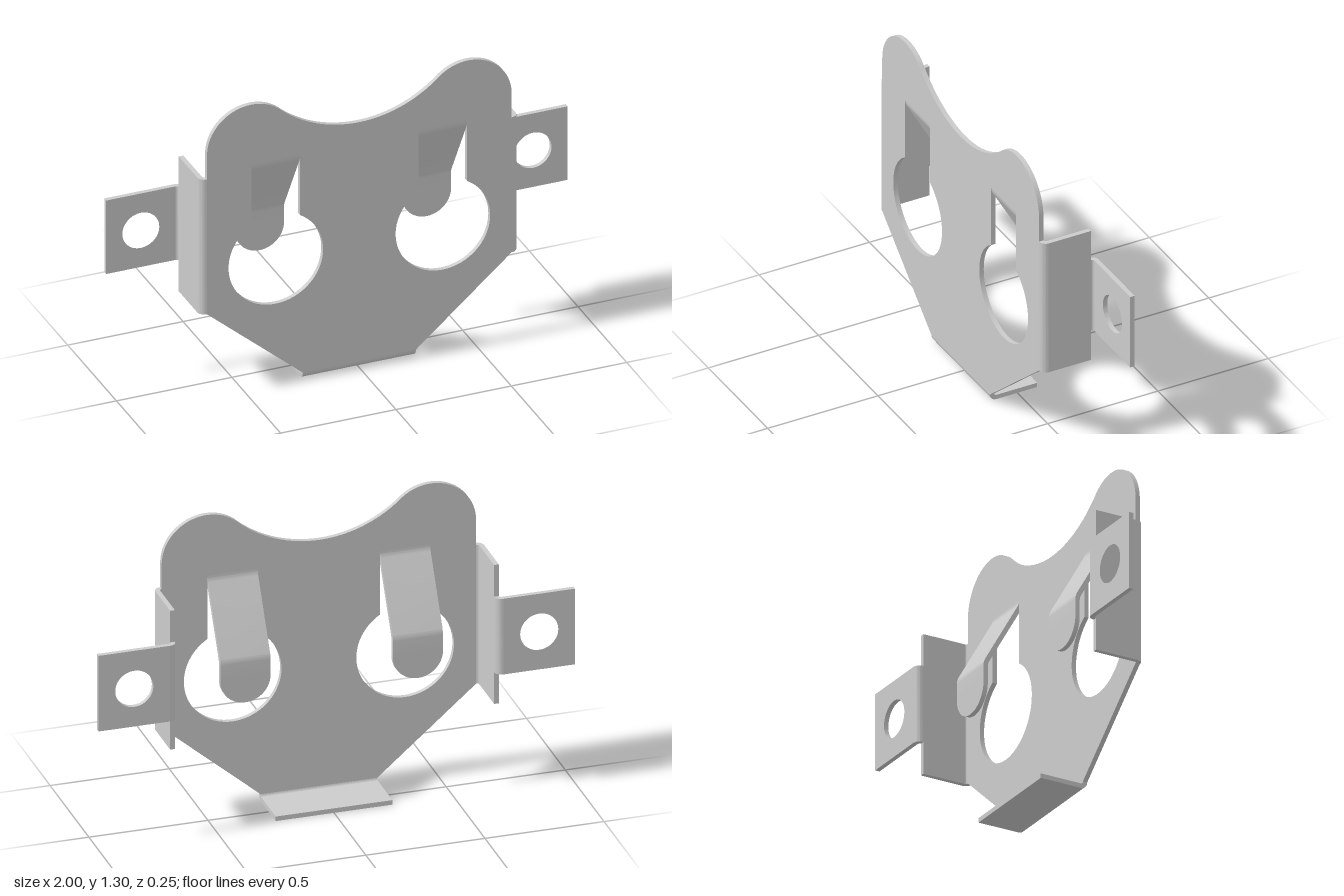
import * as THREE from 'three';
import { toCreasedNormals } from 'three/addons/utils/BufferGeometryUtils.js';

const T = 0.02; // sheet thickness
const material = new THREE.MeshStandardMaterial({ color: 0xcccccc });

function makeMesh(name, geometry) {
  const mesh = new THREE.Mesh(toCreasedNormals(geometry, 0.5), material);
  mesh.name = name;
  return mesh;
}

function extrude(shape, depth) {
  return new THREE.ExtrudeGeometry(shape, { depth, bevelEnabled: false, curveSegments: 32 });
}

// Flat sheet facing z, with its back at the given z
function flatSheet(name, shape, z) {
  return makeMesh(name, extrude(shape, T).translate(0, 0, z));
}

// Cross-section of a bent strip: a centre line with rounded corners, thickened both ways
function bentSection(coords, radius) {
  const pts = coords.map(([x, y]) => new THREE.Vector2(x, y));
  const perp = (d) => new THREE.Vector2(-d.y, d.x);
  const left = [], right = [];
  const add = (p, n) => {
    left.push(p.clone().addScaledVector(n, T / 2));
    right.push(p.clone().addScaledVector(n, -T / 2));
  };
  const dirs = pts.slice(1).map((p, i) => p.clone().sub(pts[i]).normalize());
  add(pts[0], perp(dirs[0]));
  for (let i = 1; i < pts.length - 1; i++) {
    const a = dirs[i - 1], b = dirs[i];
    const turn = Math.atan2(a.cross(b), a.dot(b)), sign = Math.sign(turn);
    const start = pts[i].clone().addScaledVector(a, -radius * Math.tan(Math.abs(turn) / 2));
    const centre = start.addScaledVector(perp(a), sign * radius);
    for (let k = 0; k <= 8; k++) {
      const n = perp(a).rotateAround(new THREE.Vector2(), (turn * k) / 8);
      add(centre.clone().addScaledVector(n, -sign * radius), n);
    }
  }
  add(pts[pts.length - 1], perp(dirs[dirs.length - 1]));
  return new THREE.Shape([...left, ...right.reverse()]);
}

// Strip bent in the x-z plane, running from y0 to y1
function uprightStrip(name, xz, radius, y0, y1) {
  const section = bentSection(xz.map(([x, z]) => [x, -z]), radius);
  return makeMesh(name, extrude(section, y1 - y0).rotateX(-Math.PI / 2).translate(0, y0, 0));
}

// Strip bent in the z-y plane, running from x0 to x1
function crossStrip(name, zy, radius, x0, x1) {
  const section = bentSection(zy.map(([z, y]) => [-z, y]), radius);
  return makeMesh(name, extrude(section, x1 - x0).rotateY(Math.PI / 2).translate(x0, 0, 0));
}

// Slot and tongue layout
const SLOT_X = 0.362, SLOT_HALF = 0.105, SLOT_TOP = 1.03, HOLE_Y = 0.575, HOLE_R = 0.205;

function keyhole(cx) {
  const rise = Math.sqrt(HOLE_R ** 2 - SLOT_HALF ** 2);
  const angle = Math.atan2(rise, SLOT_HALF);
  const path = new THREE.Path();
  path.moveTo(cx + SLOT_HALF, SLOT_TOP);
  path.lineTo(cx + SLOT_HALF, HOLE_Y + rise);
  path.absarc(cx, HOLE_Y, HOLE_R, angle, Math.PI - angle, true);
  path.lineTo(cx - SLOT_HALF, SLOT_TOP);
  path.closePath();
  return path;
}

// Main plate with two lobes joined by a tangent dip
function facePlate() {
  const lobeX = 0.47, lobeY = 1.11, lobeR = 0.19, dipY = 1.634, dipR = 0.514;
  const join = Math.atan2(dipY - lobeY, -lobeX);
  const shape = new THREE.Shape();
  shape.moveTo(-0.245, 0.03);
  shape.lineTo(0.245, 0.03);
  shape.lineTo(0.66, 0.385);
  shape.lineTo(0.66, lobeY);
  shape.absarc(lobeX, lobeY, lobeR, 0, join, false);
  shape.absarc(0, dipY, dipR, join - Math.PI, -join, true);
  shape.absarc(-lobeX, lobeY, lobeR, Math.PI - join, Math.PI, false);
  shape.lineTo(-0.66, 0.385);
  shape.closePath();
  shape.holes.push(keyhole(SLOT_X), keyhole(-SLOT_X));
  return flatSheet('facePlate', shape, 0.105);
}

// Spring tongue leaning back from the slot, with a round tip
function tongue(side) {
  const group = new THREE.Group();
  group.name = side > 0 ? 'leftTongue' : 'rightTongue';
  const cx = side * SLOT_X, tipY = 0.635;
  const zy = [[0.115, SLOT_TOP], [0.115, 1.012], [-0.05, 0.72], [-0.05, tipY]];
  group.add(crossStrip('tongueArm', zy, 0.06, cx - SLOT_HALF, cx + SLOT_HALF));
  const tip = new THREE.Shape();
  tip.absarc(cx, tipY, SLOT_HALF, Math.PI, Math.PI * 2, false);
  tip.closePath();
  group.add(flatSheet('tongueTip', tip, -0.06));
  return group;
}

// Side wall with an outward mounting ear
function sideBracket(side) {
  const group = new THREE.Group();
  group.name = side > 0 ? 'leftBracket' : 'rightBracket';
  const wall = [[0.66, 0.115], [0.68, 0.115], [0.68, -0.095]];
  const bend = [[0.68, -0.095], [0.68, -0.115], [0.7, -0.115]];
  const mirror = (list) => list.map(([x, z]) => [x * side, z]);
  group.add(uprightStrip('sideWall', mirror(wall), 0.02, 0.385, 1.0));
  group.add(uprightStrip('earBend', mirror(bend), 0.02, 0.525, 0.86));
  const ear = new THREE.Shape(
    mirror([[0.7, 0.525], [1, 0.525], [1, 0.86], [0.7, 0.86]]).map(([x, y]) => new THREE.Vector2(x, y)));
  ear.holes.push(new THREE.Path().absarc(side * 0.85, 0.692, 0.08, 0, Math.PI * 2, true));
  group.add(flatSheet('mountingEar', ear, -0.125));
  return group;
}

export function createModel() {
  const model = new THREE.Group();
  model.name = 'sheetMetalClip';
  model.add(facePlate());
  // Bottom lip folded backwards
  model.add(crossStrip('bottomLip', [[0.115, 0.03], [0.115, 0.01], [-0.09, 0.01]], 0.02, -0.245, 0.245));
  for (const side of [1, -1]) model.add(sideBracket(side), tongue(side));
  return model;
}
